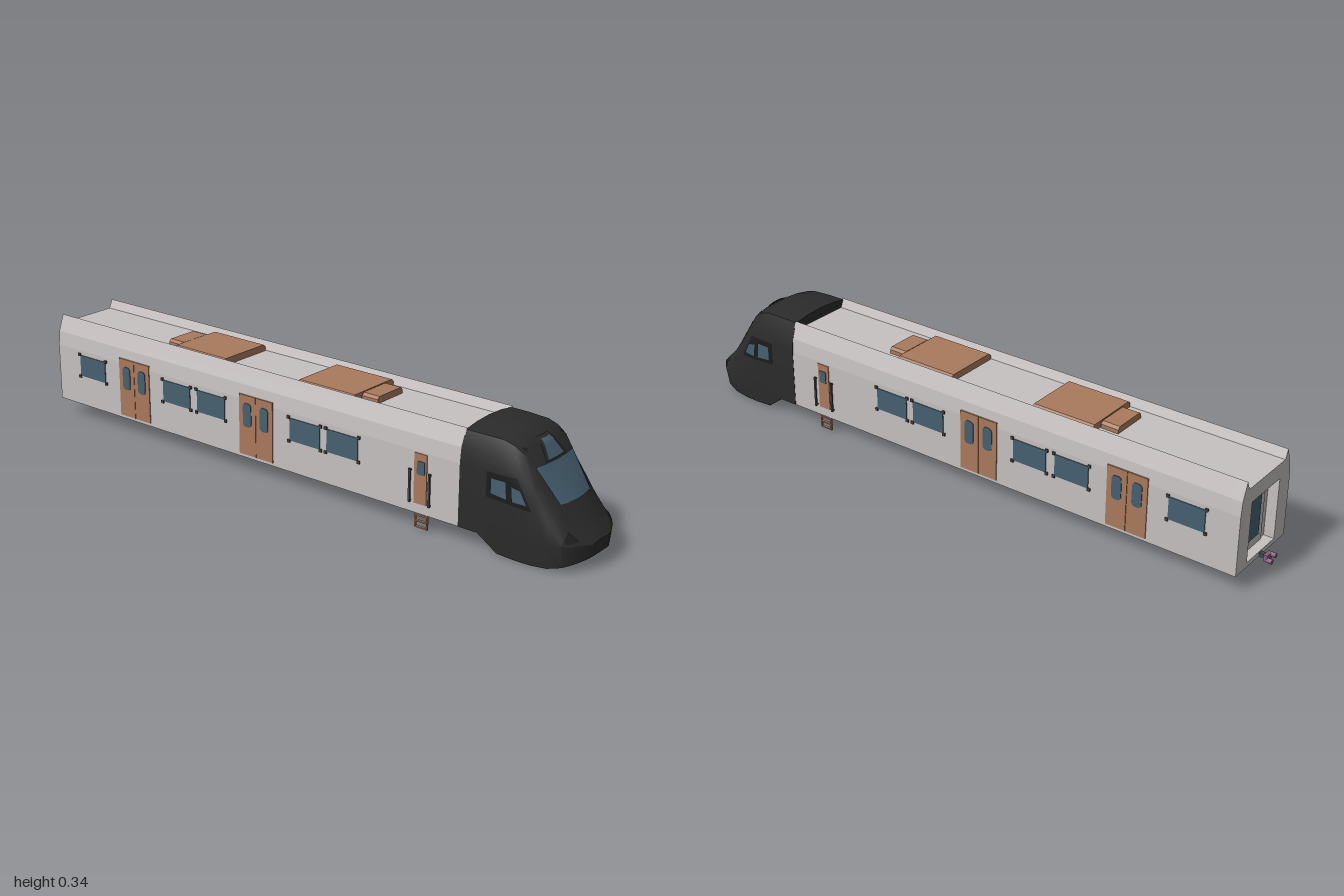
import * as THREE from 'three';
import { toCreasedNormals } from 'three/addons/utils/BufferGeometryUtils.js';

const mat = (name, color, side = THREE.FrontSide) => {
  const m = new THREE.MeshStandardMaterial({ color, side });
  m.name = name;
  return m;
};

export function createModel() {
  const train = new THREE.Group();
  train.name = 'trainCar';
  const grey = mat('bodyGrey', 0xc6c1c0);
  const black = mat('cabBlack', 0x2b2b2b, THREE.DoubleSide);
  const trim = mat('darkTrim', 0x1c1c1c, THREE.DoubleSide);
  const brown = mat('doorBrown', 0xaa7a5c);
  const glass = mat('glass', 0x466070, THREE.DoubleSide);
  const steel = mat('railGrey', 0x4a4648);
  const purple = mat('couplerPurple', 0x84607f);

  const add = (name, geo, m, parent = train) => {
    const mesh = new THREE.Mesh(geo, m);
    mesh.name = name;
    parent.add(mesh);
    return mesh;
  };
  const box = (name, m, sx, sy, sz, x, y, z, parent) => {
    const b = add(name, new THREE.BoxGeometry(sx, sy, sz), m, parent);
    b.position.set(x, y, z);
    return b;
  };
  const extrude = (shape, depth) => new THREE.ExtrudeGeometry(shape, { depth, bevelEnabled: false, curveSegments: 5 });

  // Carriage shell: channel roof between two raised edges, with a recessed rear doorway
  const half = [[0.133, 0.05], [0.133, 0.235], [0.128, 0.28], [0.109, 0.332], [0.097, 0.304]];
  const outline = () => new THREE.Shape([...half, ...half.map(([x, y]) => [-x, y]).reverse()]
    .map(([x, y]) => new THREE.Vector2(x, y)));
  add('carriageBody', extrude(outline(), 1.56), grey).position.z = -0.925;
  const rear = outline();
  rear.holes.push(new THREE.Path([[-0.075, 0.065], [-0.075, 0.255], [0.075, 0.255], [0.075, 0.065]]
    .map(([x, y]) => new THREE.Vector2(x, y))));
  add('rearFrame', extrude(rear, 0.032), grey).position.z = -0.957;
  box('rearDoor', grey, 0.1, 0.175, 0.006, 0, 0.154, -0.927);
  box('rearDoorWindow', glass, 0.054, 0.13, 0.004, 0, 0.16, -0.931);

  // Coupler
  const coupler = new THREE.Group();
  coupler.name = 'coupler';
  train.add(coupler);
  box('couplerShaft', steel, 0.012, 0.012, 0.04, 0, 0.055, -0.965, coupler);
  box('couplerHead', purple, 0.028, 0.02, 0.012, 0, 0.055, -0.98, coupler);
  for (const [x, y] of [[-0.01, 0.06], [0.01, 0.05]]) {
    const pin = add('couplerPin', new THREE.CylinderGeometry(0.007, 0.007, 0.016, 10), purple, coupler);
    pin.rotation.x = Math.PI / 2;
    pin.position.set(x, y, -0.992);
  }

  // Roof units: chamfered boxes
  const roofUnit = (w, z0, z1, h) => {
    const s = new THREE.Shape();
    const y = 0.3, c = 0.008;
    s.moveTo(-w, y); s.lineTo(w, y); s.lineTo(w, y + h - c); s.lineTo(w - c, y + h);
    s.lineTo(c - w, y + h); s.lineTo(-w, y + h - c);
    add('roofUnit', extrude(s, z1 - z0), brown).position.z = z0;
  };
  roofUnit(0.094, -0.465, -0.26, 0.025);
  roofUnit(0.058, -0.525, -0.468, 0.024);
  roofUnit(0.094, 0.03, 0.235, 0.025);
  roofUnit(0.058, 0.238, 0.295, 0.024);

  // Rounded pane facing +x, thin in x
  const pane = (name, w, h, r, x, y, z, parent) => {
    const s = new THREE.Shape();
    const a = w / 2 - r, b = h / 2 - r;
    s.absarc(a, b, r, 0, Math.PI / 2); s.absarc(-a, b, r, Math.PI / 2, Math.PI);
    s.absarc(-a, -b, r, Math.PI, Math.PI * 1.5); s.absarc(a, -b, r, Math.PI * 1.5, Math.PI * 2);
    const p = add(name, extrude(s, 0.004), glass, parent);
    p.rotation.y = Math.PI / 2;
    p.position.set(x, y, z);
  };

  // Side fittings, the same on both sides
  for (const side of [1, -1]) {
    const g = new THREE.Group();
    g.name = side > 0 ? 'leftSide' : 'rightSide';
    g.rotation.y = side > 0 ? 0 : Math.PI;
    train.add(g);
    const at = z => z * side;
    for (const z of [0.228, 0.089, -0.281, -0.425, -0.798]) {
      pane('window', 0.114, 0.07, 0.004, 0.1315, 0.185, at(z), g);
      for (const dz of [-0.06, 0.06]) for (const dy of [-0.037, 0.037])
        box('windowBolt', steel, 0.008, 0.009, 0.009, 0.134, 0.185 + dy, at(z + dz), g);
    }
    for (const z of [-0.099, -0.609]) {
      for (const d of [-0.0332, 0.0332]) {
        box('doorLeaf', brown, 0.008, 0.19, 0.065, 0.1315, 0.155, at(z + d), g);
        pane('doorWindow', 0.032, 0.075, 0.012, 0.1335, 0.188, at(z + d), g);
      }
    }
    // Cab door with handrails and ladder
    box('cabDoor', brown, 0.008, 0.15, 0.043, 0.1315, 0.155, at(0.504), g);
    pane('cabDoorWindow', 0.026, 0.04, 0.004, 0.1335, 0.188, at(0.506), g);
    for (const z of [0.537, 0.47]) {
      box('handrail', steel, 0.005, 0.1, 0.006, 0.139, 0.13, at(z), g);
      for (const y of [0.085, 0.175]) box('handrailMount', steel, 0.01, 0.005, 0.006, 0.135, y, at(z), g);
    }
    for (const z of [0.526, 0.486]) box('ladderRail', brown, 0.006, 0.05, 0.004, 0.128, 0.03, at(z), g);
    for (const y of [0.008, 0.026, 0.044]) box('ladderRung', brown, 0.008, 0.004, 0.04, 0.128, y, at(0.506), g);
  }

  // Cab nose: cross-sections along z as
  // [z, floorY, lowX, lowY, beltX, beltY, sideX, sideY, shoulderX, shoulderY, pillarX, pillarY, topY]
  const stations = [
    [0.632, 0.05, 0.134, 0.05, 0.134, 0.085, 0.134, 0.235, 0.129, 0.282, 0.11, 0.327, 0.338],
    [0.695, 0.05, 0.134, 0.05, 0.134, 0.085, 0.134, 0.235, 0.129, 0.282, 0.109, 0.327, 0.339],
    [0.755, 0.025, 0.127, 0.004, 0.133, 0.08, 0.133, 0.235, 0.128, 0.28, 0.106, 0.325, 0.337],
    [0.785, 0.024, 0.127, 0.002, 0.133, 0.08, 0.132, 0.23, 0.126, 0.274, 0.105, 0.316, 0.33],
    [0.815, 0.024, 0.127, 0.001, 0.133, 0.08, 0.131, 0.218, 0.123, 0.258, 0.101, 0.297, 0.312],
    [0.86, 0.024, 0.126, 0.001, 0.131, 0.08, 0.126, 0.175, 0.116, 0.21, 0.094, 0.236, 0.251],
    [0.91, 0.025, 0.122, 0.005, 0.128, 0.08, 0.12, 0.128, 0.107, 0.152, 0.084, 0.17, 0.186],
    [0.95, 0.026, 0.112, 0.016, 0.123, 0.079, 0.115, 0.1, 0.101, 0.112, 0.076, 0.118, 0.134],
    [0.975, 0.029, 0.09, 0.026, 0.101, 0.078, 0.096, 0.086, 0.085, 0.092, 0.06, 0.096, 0.105],
    [0.992, 0.034, 0.056, 0.033, 0.066, 0.076, 0.06, 0.079, 0.052, 0.081, 0.036, 0.083, 0.086],
    [1.0, 0.039, 0.034, 0.039, 0.042, 0.073, 0.036, 0.075, 0.03, 0.076, 0.02, 0.076, 0.077],
  ];
  const pos = [], index = [], N = 14;
  for (const [z, floor, ...r] of stations) {
    const top = r.pop();
    const pts = [];
    for (let i = 0; i < r.length; i += 2) pts.push([r[i], r[i + 1]]);
    const crown = [r[8] * 0.55, r[9] + (top - r[9]) * 0.72];
    pts.push(crown);
    const ring = [[0, floor], ...pts, [0, top], ...pts.map(([x, y]) => [-x, y]).reverse()];
    for (const [x, y] of ring) pos.push(x, y, z);
  }
  const last = (stations.length - 1) * N;
  for (let i = 0; i < last; i += N) for (let j = 0; j < N; j++) {
    const k = (j + 1) % N;
    index.push(i + j, i + k, i + N + k, i + j, i + N + k, i + N + j);
  }
  for (let j = 1; j < N - 1; j++) {
    index.push(last, last + j, last + j + 1);
    index.push(0, j + 1, j);
  }
  const noseGeo = new THREE.BufferGeometry();
  noseGeo.setAttribute('position', new THREE.Float32BufferAttribute(pos, 3));
  noseGeo.setIndex(index);
  const nose = add('cabNose', toCreasedNormals(noseGeo, 0.5), black);
  nose.updateMatrixWorld(true);

  // Thin patch laid on the nose: four corners (u, y), u is x when cast from the front, z from a side
  const ray = new THREE.Raycaster();
  const patch = (name, m, from, corners, lift) => {
    const geo = new THREE.PlaneGeometry(1, 1, 8, 8);
    const p = geo.attributes.position;
    const c = corners.map(([u, y]) => new THREE.Vector2(u, y));
    const out = from === 'front' ? new THREE.Vector3(0, 0, 1) : new THREE.Vector3(from, 0, 0);
    for (let i = 0; i < p.count; i++) {
      const s = p.getX(i) + 0.5, t = p.getY(i) + 0.5;
      const q = c[0].clone().lerp(c[1], s).lerp(c[3].clone().lerp(c[2], s), t);
      const o = from === 'front' ? new THREE.Vector3(q.x, q.y, 2) : new THREE.Vector3(from * 2, q.y, q.x);
      ray.set(o, out.clone().negate());
      const hit = ray.intersectObject(nose)[0];
      const v = hit ? hit.point : o.addScaledVector(out, -1.87);
      v.addScaledVector(out, lift);
      p.setXYZ(i, v.x, v.y, v.z);
    }
    geo.computeVertexNormals();
    add(name, geo, m);
  };
  patch('windscreen', glass, 'front', [[-0.074, 0.172], [0.074, 0.172], [0.092, 0.266], [-0.092, 0.266]], 0.004);
  patch('upperWindowFrame', black, 'front', [[-0.05, 0.269], [0.05, 0.269], [0.028, 0.323], [-0.028, 0.323]], 0.005);
  patch('upperWindow', glass, 'front', [[-0.038, 0.273], [0.038, 0.273], [0.02, 0.318], [-0.02, 0.318]], 0.008);
  for (const s of [1, -1]) {
    patch('markerLight', trim, 'front', [[s * 0.08, 0.308], [s * 0.095, 0.302], [s * 0.095, 0.313], [s * 0.08, 0.309]], 0.004);
    patch('headlight', trim, 'front', [[s * 0.08, 0.092], [s * 0.113, 0.086], [s * 0.116, 0.097], [s * 0.094, 0.116]], 0.003);
    patch('cabSideWindowFrame', trim, s, [[0.86, 0.155], [0.72, 0.165], [0.72, 0.238], [0.812, 0.238]], 0.002);
    patch('cabSideWindowFront', glass, s, [[0.845, 0.17], [0.802, 0.17], [0.797, 0.213], [0.825, 0.208]], 0.005);
    patch('cabSideWindowRear', glass, s, [[0.785, 0.172], [0.735, 0.178], [0.735, 0.222], [0.78, 0.222]], 0.005);
  }
  return train;
}
